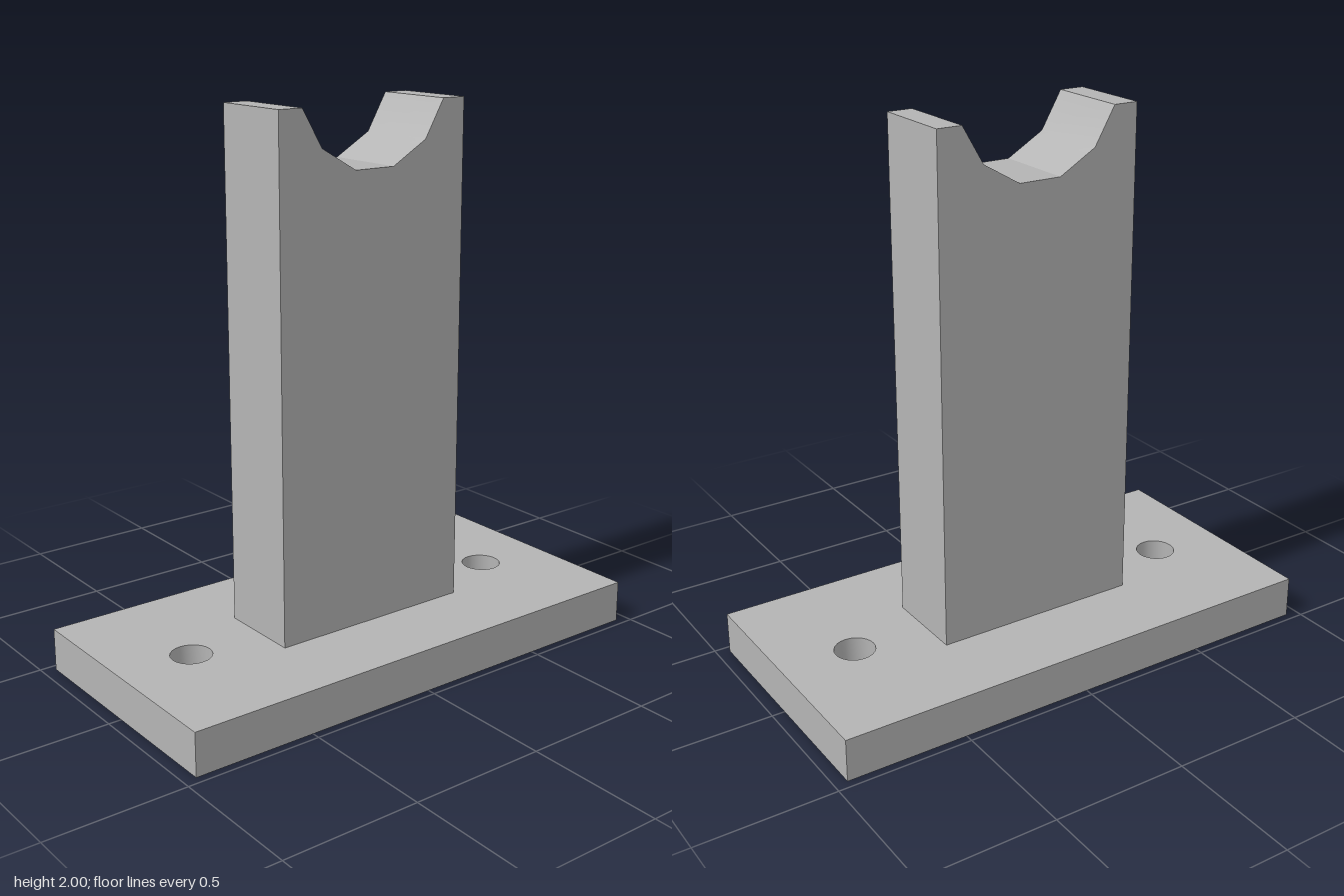
import * as THREE from 'three';
import { toCreasedNormals } from 'three/addons/utils/BufferGeometryUtils.js';

const BASE_X = 0.47, BASE_Z = 0.953, BASE_H = 0.157;
const POST_X = 0.157, POST_Z = 0.39, TOP = 2;
const HOLE_Z = 0.672, HOLE_R = 0.074;

const outline = (points) => new THREE.Shape(points.map(([x, y]) => new THREE.Vector2(x, y)));
const extrude = (shape, depth) =>
  new THREE.ExtrudeGeometry(shape, { depth, bevelEnabled: false, curveSegments: 12 });

export function createModel() {
  const group = new THREE.Group();
  const grey = new THREE.MeshStandardMaterial({ color: 0xb4b4b4 });
  grey.name = 'grey';

  const add = (name, geometry) => {
    // smooth the hole walls and notch flanks, keep all other edges sharp
    const mesh = new THREE.Mesh(toCreasedNormals(geometry, THREE.MathUtils.degToRad(29.9)), grey);
    mesh.name = name;
    group.add(mesh);
  };

  // Base plate with two bolt holes
  const plate = outline([[-BASE_X, -BASE_Z], [BASE_X, -BASE_Z], [BASE_X, BASE_Z], [-BASE_X, BASE_Z]]);
  for (const side of [-1, 1]) {
    const hole = new THREE.Path();
    hole.absarc(0, side * HOLE_Z, HOLE_R, 0, Math.PI * 2, true);
    plate.holes.push(hole);
  }
  add('basePlate', extrude(plate, BASE_H).rotateX(-Math.PI / 2));

  // Upright post with a faceted cradle notch, profile in z and y
  const half = [[POST_Z, BASE_H], [POST_Z, TOP], [0.297, TOP], [0.219, 1.866], [0.08, 1.785]];
  const mirrored = half.map(([z, y]) => [-z, y]).reverse();
  const post = extrude(outline([...half, ...mirrored]), POST_X * 2);
  add('post', post.translate(0, 0, -POST_X).rotateY(-Math.PI / 2));

  return group;
}
